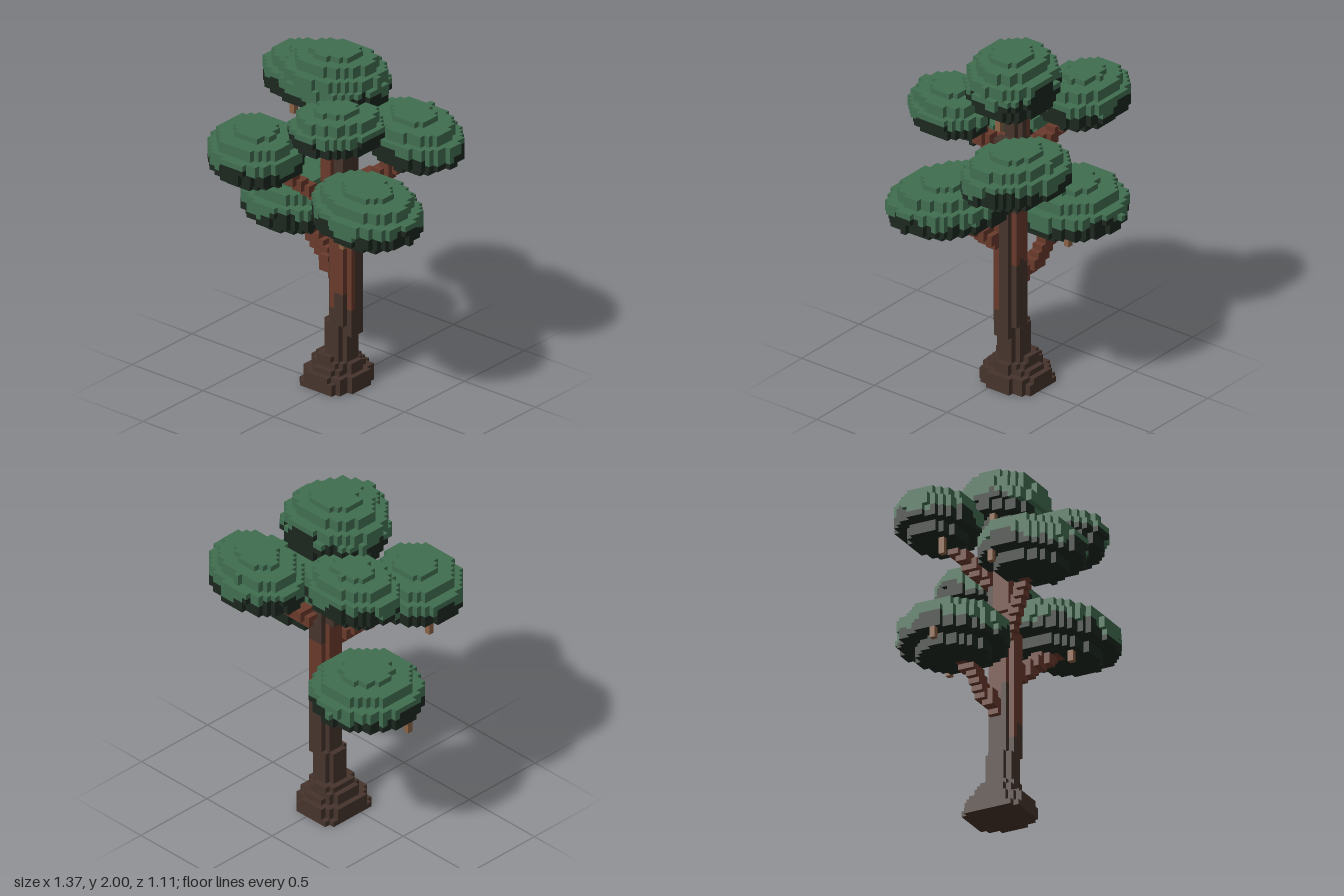
import * as THREE from 'three';

const V = 2 / 63; // edge of one cube; cell (i, j, k) is centred on x = iV, z = kV and starts at y = jV

const paint = (name, color) => Object.assign(new THREE.MeshStandardMaterial({ color }), { name });

// Outward directions of a cube with two in-plane axes (u x v = n)
const SIDES = [
  [[1, 0, 0], [0, 1, 0], [0, 0, 1]], [[-1, 0, 0], [0, 0, 1], [0, 1, 0]],
  [[0, 1, 0], [0, 0, 1], [1, 0, 0]], [[0, -1, 0], [1, 0, 0], [0, 0, 1]],
  [[0, 0, 1], [1, 0, 0], [0, 1, 0]], [[0, 0, -1], [0, 1, 0], [1, 0, 0]],
];

export function createModel() {
  const mats = {
    leaf: paint('leaf green', 0x416e50),
    shade: paint('deep underside green', 0x1c271e),
    bark: paint('dark bark', 0x46342c),
    redBark: paint('red bark', 0x693a2b),
    vine: paint('tan vine', 0x8a6144),
  };
  const cells = new Map(); // cell key -> part and colour; the first part to claim a cell keeps it
  const put = (part, color, i, j, k) => {
    const key = `${i},${j},${k}`;
    if (!cells.has(key)) cells.set(key, { part, color, p: [i, j, k] });
  };

  // Rounded square slab of cells, coloured by a function
  const slab = (part, color, j, cx, cz, rx, rz, power) => {
    for (let i = Math.floor(cx - rx); i <= cx + rx; i++)
      for (let k = Math.floor(cz - rz); k <= cz + rz; k++)
        if (Math.abs((i - cx) / rx) ** power + Math.abs((k - cz) / rz) ** power <= 1) put(part, color(i, j, k), i, j, k);
  };

  // Root flare, stepping in towards the trunk
  [[4.8, 5.5, 4], [4.8, 5.4, 3.5], [4.8, 5.3, 3], [3.9, 4.4, 2.6], [3.9, 3.5, 2.5], [2.9, 3.2, 3]]
    .forEach(([rx, rz, power], j) => slab('roots', () => 'bark', j, -0.7, -2, rx, rz, power));

  // Trunk, leaning in steps; red bark shows on the front and left-hand faces, with a band at the back
  const frontStart = { '-1': 25, 0: 15, 1: 18, 2: 18, 3: 15 };
  const trunkColor = (i, j, k) => {
    let red;
    if (j >= 47) red = i < -1;
    else if (j >= 38) red = (k >= 0 && i < 1) || (i <= -2 && k >= -2);
    else if (k >= -1) red = j >= frontStart[i];
    else if (k === -4) red = j >= 24 + (i & 1) && j < 34;
    else red = i === -1 && j >= 23 - k % 2;
    return red ? 'redBark' : 'bark';
  };
  for (let j = 6; j < 54; j++) {
    const [x, z, r] = j < 12 ? [0, -2, 2.5] : j < 38 ? [1, -2, 2.5] : j < 47 ? [0, -1.5, 2.6] : [-1.5, -1.5, 1.7];
    slab('trunk', trunkColor, j, x, z, r, r, 2.4);
    if (j === 10 || j === 11) for (let k = -3; k < 0; k++) put('trunk', 'bark', 3, j, k);
  }

  // Branches: a small block of cells swept along a line
  const branch = (name, a, b) => {
    for (let s = 0; s <= 40; s++) {
      const [x, y, z] = a.map((v, n) => Math.round(v + (b[n] - v) * s / 40));
      for (let c = 0; c < 8; c++) put(name, 'redBark', x + (c & 1), y + (c >> 1 & 1), z + (c >> 2));
    }
  };
  branch('lowRightBranch', [-2, 19, -3], [-11, 27, -5]);
  branch('lowLeftBranch', [3, 27, -1], [9, 34, 3]);
  branch('frontRightBranch', [-1, 33, -1], [-9, 41, 7]);
  branch('backLeftBranch', [1, 36, -4], [8, 41, -9]);
  branch('frontLeftBranch', [1, 44, 0], [5, 50, 5]);
  branch('backRightBranch', [-1, 42, -3], [-9, 47, -7]);

  // Leaf pads: a thin top tier over tiers two cells tall, dark below the widest one along a wavy line
  // name, centre x, centre z, radius x, radius z, first layer, last layer, skew in plan, phase of the wave, drop to the front
  const pads = [
    ['crownPad', -0.6, -1.2, 9.2, 7.8, 52, 62, -0.12, 0, 1.8],
    ['frontLeftPad', 6.3, 6.6, 7.2, 7.7, 49, 56, -0.15, 2, 0],
    ['lowLeftPad', 10.4, 3.5, 11, 9, 33, 41, 0.2, 1, 0],
    ['backLeftPad', 9.4, -9.9, 10, 7.6, 42, 50, 0.18, 3, 0],
    ['frontRightPad', -9.8, 9, 8.9, 8.5, 40, 48, 0.17, 4, 0],
    ['lowRightPad', -12, -5, 9.6, 9.5, 26, 34, 0, 5, 0],
    ['backRightPad', -11.8, -8, 8.9, 6.8, 48, 56, 0, 2, 0],
  ];
  for (const [name, cx, cz, rx, rz, lo, hi, skew, phase, drop] of pads) {
    const h = hi - lo + 1, mid = lo + 0.45 * h;
    // Size of the tier that holds layer j
    const scale = (j) => {
      const top = hi - 2 * Math.ceil((hi - j) / 2) + 1; // upper layer of this tier
      const y = j === hi ? hi + 0.5 : Math.max(top, lo + 0.5);
      const t = (y - mid) / (h * (y > mid ? 0.55 : 0.45));
      return Math.sqrt(Math.max(0.2, 1 - t * t));
    };
    for (let i = Math.floor(cx - rx); i <= cx + rx; i++)
      for (let k = Math.floor(cz - rz); k <= cz + rz; k++) {
        const u = (i - cx) / rx, w = (k - cz) / rz;
        const reach = Math.sqrt((u * u + w * w - 2 * skew * u * w) / (1 - skew * skew));
        const a = Math.atan2(k - cz, i - cx);
        const line = mid + 0.9 * Math.sin(a * 3 + phase) + 0.5 * Math.sin(a * 7 + phase) - drop * w;
        for (let j = lo; j <= hi; j++)
          if (reach <= scale(j)) put(name, j + 0.5 < line && reach <= scale(j + 1) ? 'shade' : 'leaf', i, j, k);
      }
  }
  put('lowRightPad', 'leaf', -13, 30, -15);

  // Short vines hanging off the pads: x, z, first layer, last layer
  [[-21, -4, 26, 28], [-17, 5, 40, 42], [8, 7, 31, 32], [-14, -6, 45, 47], [-7, 0, 52, 53], [4, -2, 50, 51], [-6, -9, 26, 27]]
    .forEach(([i, k, lo, hi]) => { for (let j = lo; j <= hi; j++) put('hangingVines', 'vine', i, j, k); });

  // Collect the exposed cube faces of every part and colour
  const batches = new Map();
  for (const { part, color, p } of cells.values()) {
    const id = `${part} ${color}`;
    if (!batches.has(id)) batches.set(id, { part, color, pos: [], nor: [] });
    const { pos, nor } = batches.get(id);
    for (const [n, u, v] of SIDES) {
      if (cells.has(p.map((c, m) => c + n[m]).join())) continue;
      const corner = (a, b) => p.map((c, m) => (c + (m === 1 ? 0.5 : 0) + (n[m] + a * u[m] + b * v[m]) / 2) * V);
      const [A, B, C, D] = [corner(-1, -1), corner(1, -1), corner(1, 1), corner(-1, 1)];
      for (const q of [A, B, C, A, C, D]) { pos.push(...q); nor.push(...n); }
    }
  }

  const tree = new THREE.Group();
  tree.name = 'tree';
  const groups = {};
  for (const { part, color, pos, nor } of batches.values()) {
    if (!pos.length) continue;
    if (!groups[part]) {
      groups[part] = new THREE.Group();
      groups[part].name = part;
      tree.add(groups[part]);
    }
    const g = new THREE.BufferGeometry();
    g.setAttribute('position', new THREE.Float32BufferAttribute(pos, 3));
    g.setAttribute('normal', new THREE.Float32BufferAttribute(nor, 3));
    const mesh = new THREE.Mesh(g, mats[color]);
    mesh.name = `${part} ${mats[color].name}`;
    groups[part].add(mesh);
  }
  return tree;
}
